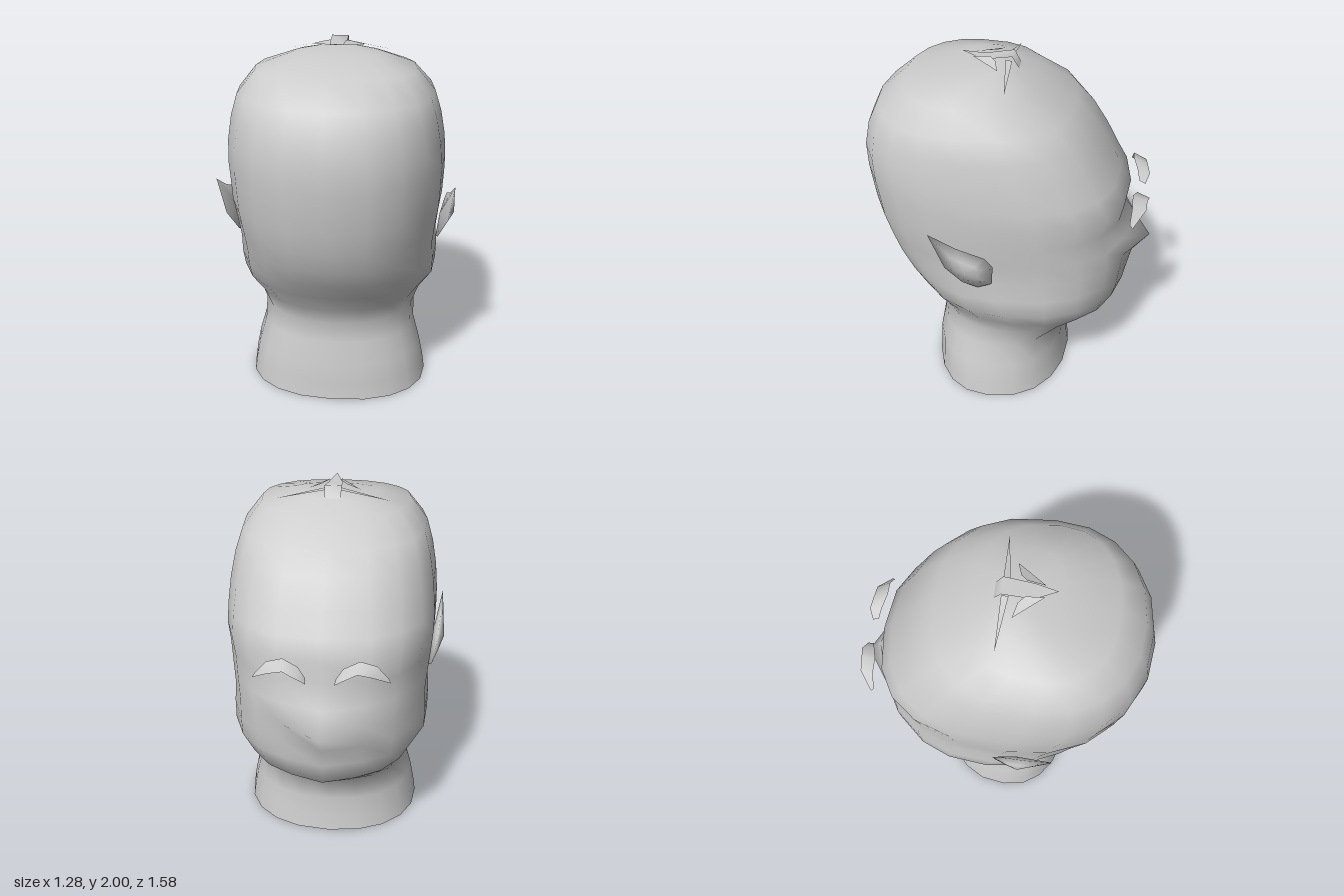
import * as THREE from 'three';

const skin = new THREE.MeshStandardMaterial({ color: 0xcccccc, side: THREE.DoubleSide });
skin.name = 'light grey';

function surface(name, points, index) {
  const geo = new THREE.BufferGeometry();
  geo.setAttribute('position', new THREE.Float32BufferAttribute(points.flat(), 3));
  geo.setIndex(index);
  geo.computeVertexNormals();
  const mesh = new THREE.Mesh(geo, skin);
  mesh.name = name;
  return mesh;
}

// Head and neck: rings of [y, half width, back z, face z, profile bump, face squareness]
function head() {
  const rings = [
    [0, 0.525, 0.46, -0.36, 0, 2.2],
    [0.1, 0.51, 0.45, -0.345, 0, 2.2],
    [0.22, 0.485, 0.445, -0.335, 0, 2.2],
    [0.36, 0.445, 0.415, -0.34, 0, 2.2],
    [0.48, 0.445, 0.41, -0.49, 0.02, 2.2],
    [0.59, 0.49, 0.46, -0.63, 0.03, 2.2],
    [0.71, 0.56, 0.54, -0.65, 0.03, 2.3],
    [0.82, 0.56, 0.62, -0.66, 0.04, 2.4],
    [0.94, 0.55, 0.69, -0.67, 0.12, 2.5],
    [1.06, 0.56, 0.73, -0.66, 0.05, 2.5],
    [1.18, 0.573, 0.76, -0.63, 0, 2.5],
    [1.3, 0.578, 0.775, -0.65, 0, 2.6],
    [1.4, 0.577, 0.785, -0.59, 0, 2.6],
    [1.53, 0.565, 0.786, -0.52, 0, 2.6],
    [1.66, 0.54, 0.755, -0.435, 0, 2.6],
    [1.77, 0.505, 0.7, -0.335, 0, 2.6],
    [1.885, 0.41, 0.56, -0.15, 0, 2.5],
    [1.94, 0.23, 0.28, -0.035, 0, 2.4],
  ];
  const N = 20, pts = [], idx = [];
  for (const [y, w, back, face, bump, square] of rings) {
    const mid = back * 0.5 + face * 0.5 + 0.03;
    for (let c = 0; c < N; c++) {
      const t = (c / N) * Math.PI * 2, s = Math.sin(t), k = -Math.cos(t);
      const e = 2 / (k < 0 ? square : 2.25);
      const x = w * Math.sign(s) * Math.abs(s) ** e;
      const z = mid + Math.abs(k) ** e * (k < 0 ? face - mid : back - mid);
      pts.push([x, y, z - (c === 0 ? bump : 0)]);
    }
  }
  for (let r = 0; r < rings.length - 1; r++) {
    for (let c = 0; c < N; c++) {
      const a = r * N + c, b = r * N + ((c + 1) % N);
      idx.push(a, a + N, b + N, a, b + N, b);
    }
  }
  // Crown
  const apex = pts.length, last = apex - N;
  pts.push([0, 1.975, 0.05]);
  for (let c = 0; c < N; c++) idx.push(last + c, apex, last + ((c + 1) % N));
  return surface('headAndNeck', pts, idx);
}

// Pointed ear: a rim with a bulging outer face and a shallower inner face
function ear() {
  const rim = [
    [0.628, 1.295, 0.34], [0.615, 1.21, 0.2], [0.6, 1.15, 0.06], [0.59, 1.09, 0.02],
    [0.572, 0.96, 0.03], [0.55, 0.905, 0.11], [0.56, 0.94, 0.19], [0.605, 1.07, 0.27],
  ];
  const n = rim.length, idx = [];
  const outer = rim.map(([x, y, z]) => [x * 0.45 + 0.641 * 0.55, y * 0.45 + 1.07 * 0.55, z * 0.45 + 0.15 * 0.55]);
  const pts = [...rim, ...outer, [0.642, 1.08, 0.16], [0.565, 1.06, 0.14]];
  for (let i = 0; i < n; i++) {
    const j = (i + 1) % n;
    idx.push(i, j, n + j, i, n + j, n + i, n + i, n + j, 2 * n);
    idx.push(j, i, 2 * n + 1);
  }
  // Rim order runs towards the face, so reverse the triangles to look outwards
  for (let i = 0; i < idx.length; i += 3) [idx[i + 1], idx[i + 2]] = [idx[i + 2], idx[i + 1]];
  return surface('ear', pts, idx);
}

// Eyebrow: an arched ribbon between a front edge and a rear edge
function eyebrow() {
  const front = [
    [0.07, 1.235, -0.735], [0.12, 1.275, -0.755], [0.18, 1.3, -0.74], [0.25, 1.285, -0.735], [0.34, 1.225, -0.672],
  ];
  const rear = [
    [0.075, 1.25, -0.7], [0.11, 1.3, -0.685], [0.19, 1.33, -0.66], [0.27, 1.31, -0.662], [0.33, 1.24, -0.655],
  ];
  const idx = [];
  for (let i = 0; i < 4; i++) idx.push(i, i + 5, i + 6, i, i + 6, i + 1);
  return surface('eyebrow', [...front, ...rear], idx);
}

// Small tuft: a central lock lying backwards
function centreLock() {
  const pts = [
    [-0.04, 1.93, -0.04], [0.04, 1.93, -0.04], [-0.045, 2, 0], [0.045, 2, 0],
    [-0.04, 1.975, 0.15], [0.04, 1.975, 0.15], [0, 2, 0.26],
  ];
  return surface('centreLock', pts, [0, 2, 3, 0, 3, 1, 2, 4, 5, 2, 5, 3, 4, 6, 5]);
}

// Side lock and a thin strand lying on the crown
function sideLock() {
  const pts = [
    [0.03, 1.985, 0.2], [0.14, 1.965, 0.06], [0.07, 1.985, 0.08], [0.04, 1.995, 0.11],
    [0.04, 1.975, 0.0], [0.3, 1.925, 0.0], [0.04, 1.98, 0.035],
  ];
  return surface('sideLock', pts, [0, 1, 2, 0, 2, 3, 4, 6, 5]);
}

export function createModel() {
  const model = new THREE.Group();
  model.name = 'head';
  model.add(head(), centreLock());
  for (const side of [1, -1]) {
    const half = new THREE.Group();
    half.name = side > 0 ? 'leftFeatures' : 'rightFeatures';
    half.add(ear(), eyebrow(), sideLock());
    half.scale.x = side;
    model.add(half);
  }
  return model;
}
